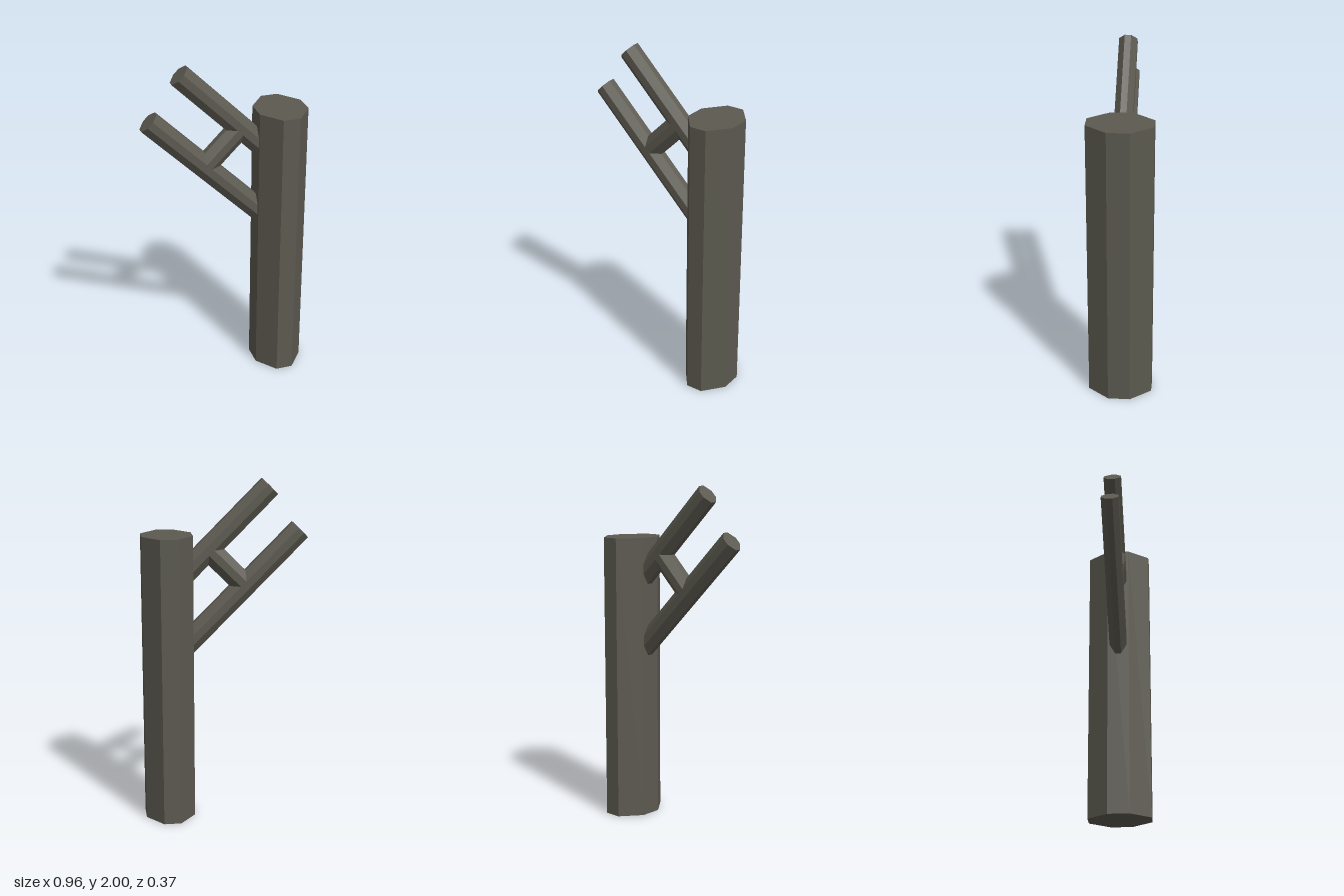
import * as THREE from 'three';

const bark = new THREE.MeshStandardMaterial({ color: 0x5b594f });
bark.name = 'dark grey wood';

// Flat-sided octagonal beam: half sizes w (in x-y plane) and d (in z), with short flats fw and fd
function beam(name, from, to, w, fw, d, fd) {
  const outline = [[w, -fd], [w, fd], [fw, d], [-fw, d], [-w, fd], [-w, -fd], [-fw, -d], [fw, -d]];
  const shape = new THREE.Shape(outline.map(([x, y]) => new THREE.Vector2(x, y)));
  const start = new THREE.Vector3(...from, 0);
  const axis = new THREE.Vector3(...to, 0).sub(start);
  const geometry = new THREE.ExtrudeGeometry(shape, { depth: axis.length(), bevelEnabled: false });
  axis.normalize();
  const depthAxis = new THREE.Vector3(0, 0, -1);
  const widthAxis = new THREE.Vector3().crossVectors(depthAxis, axis);
  geometry.applyMatrix4(new THREE.Matrix4().makeBasis(widthAxis, depthAxis, axis).setPosition(start));
  const mesh = new THREE.Mesh(geometry, bark);
  mesh.name = name;
  return mesh;
}

export function createModel() {
  const model = new THREE.Group();
  model.name = 'branchedPost';
  const branch = [0.0636, 0.0215, 0.052, 0.018];

  // Upright post
  model.add(beam('post', [0.335, 0], [0.335, 1.69], 0.145, 0.05, 0.185, 0.064));

  // Two parallel branches rising at 45 degrees, rooted inside the post
  model.add(beam('lowerBranch', [0.26, 1.01], [-0.435, 1.705], ...branch));
  model.add(beam('upperBranch', [0.26, 1.438], [-0.257, 1.955], ...branch));

  // Short rung joining the branches
  model.add(beam('rung', [-0.117, 1.387], [0.096, 1.6], ...branch));

  return model;
}
